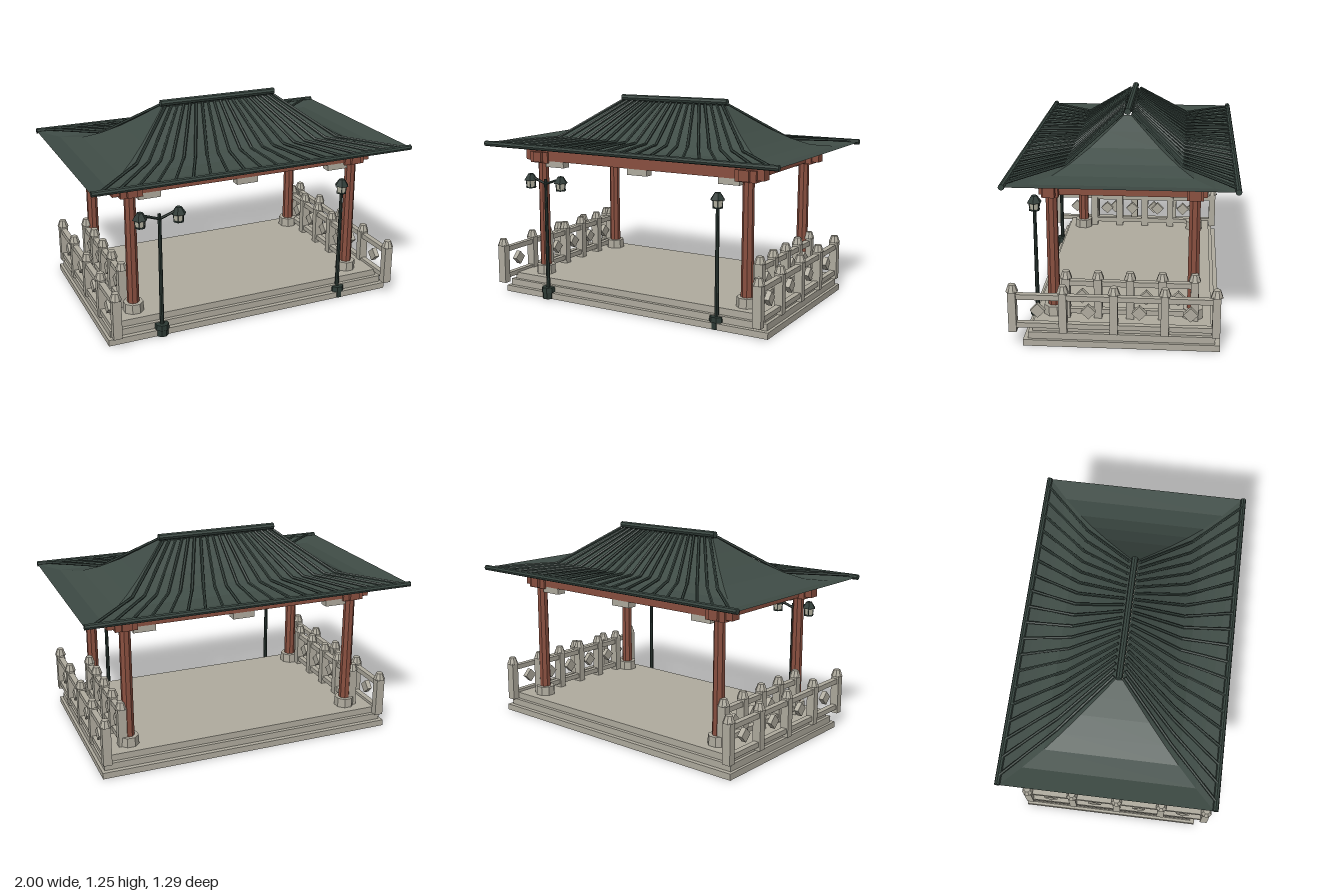
import * as THREE from 'three';

const mat = (name, color, side = THREE.FrontSide) => {
  const m = new THREE.MeshStandardMaterial({ color, flatShading: true, side });
  m.name = name;
  return m;
};

export function createModel() {
  const stone = mat('stone', 0xb0ac9f);
  const wood = mat('red wood', 0x8a5040);
  const tile = mat('roof tile', 0x3f4c46, THREE.DoubleSide);
  const trim = mat('roof trim', 0x37453f);
  const iron = mat('lamp iron', 0x2b3833);
  const glass = mat('lamp glass', 0xb9b7a6);

  const model = new THREE.Group();
  model.name = 'pavilion';

  const group = (name, parent = model) => {
    const g = new THREE.Group();
    g.name = name;
    parent.add(g);
    return g;
  };
  const add = (parent, name, geometry, material, x, y, z) => {
    const m = new THREE.Mesh(geometry, material);
    m.name = name;
    m.position.set(x, y, z);
    parent.add(m);
    return m;
  };
  // Box given by its centre in x and z and its lower and upper y
  const box = (parent, name, material, w, d, y0, y1, x, z) =>
    add(parent, name, new THREE.BoxGeometry(w, y1 - y0, d), material, x, (y0 + y1) / 2, z);
  // Upright prism or frustum with a flat side facing front
  const prism = (parent, name, material, rBottom, rTop, y0, y1, x, z, sides = 8) => {
    const g = new THREE.CylinderGeometry(rTop, rBottom, y1 - y0, sides);
    g.rotateY(Math.PI / sides);
    return add(parent, name, g, material, x, (y0 + y1) / 2, z);
  };
  // Straight rod between two points
  const rod = (parent, name, material, a, b, r, sides = 6) => {
    const dir = b.clone().sub(a);
    const m = add(parent, name, new THREE.CylinderGeometry(r, r, dir.length(), sides), material, 0, 0, 0);
    m.position.copy(a).add(b).multiplyScalar(0.5);
    m.quaternion.setFromUnitVectors(new THREE.Vector3(0, 1, 0), dir.normalize());
    return m;
  };
  const v = (x, y, z) => new THREE.Vector3(x, y, z);

  // Stepped platform
  const platform = group('platform');
  box(platform, 'lowerStep', stone, 1.845, 1.11, 0, 0.038, 0, -0.003);
  box(platform, 'middleStep', stone, 1.81, 1.055, 0.038, 0.078, 0, -0.003);
  box(platform, 'floor', stone, 1.77, 1.01, 0.078, 0.118, 0, -0.003);

  // Columns with bases and capitals
  const frame = group('frame');
  for (const x of [-0.72, 0.72]) {
    for (const z of [-0.402, 0.398]) {
      prism(frame, 'columnBase', stone, 0.062, 0.06, 0.118, 0.175, x, z);
      prism(frame, 'column', wood, 0.036, 0.033, 0.175, 0.92, x, z);
      box(frame, 'capital', wood, 0.133, 0.093, 0.84, 0.908, x, z);
    }
    box(frame, 'crossBeam', wood, 0.06, 0.935, 0.847, 0.91, x, -0.002);
  }
  for (const z of [-0.402, 0.398]) {
    box(frame, 'longBeam', wood, 1.66, 0.065, 0.853, 0.92, 0, z);
    for (const x of [-0.61, 0, 0.61]) {
      box(frame, 'beamBlock', stone, 0.135, 0.06, 0.815, 0.853, x, z);
    }
  }

  // Railings: an outer and a taller-set inner row on each side
  const railing = (name, x, zFront, step, lift) => {
    const g = group(name);
    const length = step * 4;
    const zMid = zFront - length / 2;
    for (let i = 0; i < 5; i++) {
      const z = zFront - step * i;
      box(g, 'railingPost', stone, 0.052, 0.045, 0.08 + lift, 0.325 + lift, x, z);
      prism(g, 'postCap', stone, 0.036, 0.021, 0.32 + lift, 0.362 + lift, x, z);
      if (i < 4) {
        const d = add(g, 'diamond', new THREE.BoxGeometry(0.03, 0.06, 0.06), stone, x, 0.21 + lift, z - step / 2);
        d.rotation.x = Math.PI / 4;
      }
    }
    box(g, 'topRail', stone, 0.034, length, 0.276 + lift, 0.307 + lift, x, zMid);
    box(g, 'bottomRail', stone, 0.034, length, 0.105 + lift, 0.135 + lift, x, zMid);
  };
  for (const s of [-1, 1]) {
    const side = s > 0 ? 'left' : 'right';
    railing(side + 'OuterRailing', s * 0.89, 0.61, 0.286, 0);
    railing(side + 'InnerRailing', s * 0.762, 0.321, 0.183, 0.036);
  }

  // Hipped roof: rectangular rings following a sagging profile of [z, y]
  const roof = group('roof');
  roof.position.z = -0.003;
  const profile = [
    [0.02, 1.215], [0.11, 1.14], [0.2, 1.068], [0.3, 1.003],
    [0.39, 0.96], [0.5, 0.945], [0.615, 0.965],
  ];
  const ring = ([z, y]) => {
    const x = 0.375 + 0.625 * (z - 0.02) / 0.595;
    return [[x, y, z], [x, y, -z], [-x, y, -z], [-x, y, z]];
  };
  const points = [];
  for (let i = 0; i < profile.length - 1; i++) {
    const upper = ring(profile[i]);
    const lower = ring(profile[i + 1]);
    for (let k = 0; k < 4; k++) {
      const n = (k + 1) % 4;
      points.push(...upper[k], ...lower[k], ...lower[n], ...upper[k], ...lower[n], ...upper[n]);
    }
  }
  const roofGeometry = new THREE.BufferGeometry();
  roofGeometry.setAttribute('position', new THREE.Float32BufferAttribute(points, 3));
  roofGeometry.computeVertexNormals();
  add(roof, 'roofSurface', roofGeometry, tile, 0, 0, 0);

  // Ridge, eave rods and fanned ribs
  rod(roof, 'ridge', trim, v(-0.378, 1.235, 0), v(0.378, 1.235, 0), 0.02, 8);
  for (const s of [-1, 1]) {
    rod(roof, 'eave', trim, v(-1, 0.965, s * 0.622), v(1, 0.965, s * 0.622), 0.017, 8);
    for (let i = -9; i <= 9; i++) {
      const t = i / 9;
      const top = v(t * 0.36, 1.22, s * 0.032);
      const knee = v(t * 0.648, 0.995, s * 0.33);
      const end = v(t * 0.945, 0.972, s * 0.62);
      rod(roof, 'upperRib', trim, top, knee, 0.009);
      rod(roof, 'lowerRib', trim, knee, end, 0.009);
    }
  }

  // Lamp posts
  const lantern = (parent, x, z) => {
    const g = group('lantern', parent);
    prism(g, 'lanternFloor', iron, 0.033, 0.033, 0.697, 0.705, x, z, 6);
    prism(g, 'lanternGlass', glass, 0.028, 0.033, 0.705, 0.75, x, z, 6);
    prism(g, 'lanternRoof', iron, 0.045, 0.018, 0.745, 0.785, x, z, 6);
    for (let i = 0; i < 6; i++) {
      const a = (i + 0.5) * Math.PI / 3;
      const c = Math.sin(a), d = Math.cos(a);
      rod(g, 'lanternBar', iron, v(x + c * 0.028, 0.703, z + d * 0.028), v(x + c * 0.033, 0.75, z + d * 0.033), 0.003, 4);
    }
  };
  const lampPost = (name, x, z, top) => {
    const g = group(name);
    prism(g, 'lampFoot', iron, 0.037, 0.037, 0, 0.042, x, z);
    prism(g, 'lampCollar', iron, 0.044, 0.04, 0.042, 0.073, x, z);
    prism(g, 'lampPole', iron, 0.013, 0.01, 0.07, top, x, z);
    return g;
  };
  const doubleLamp = lampPost('doubleLamp', -0.595, 0.54, 0.76);
  for (const s of [-1, 1]) {
    rod(doubleLamp, 'lampArm', iron, v(-0.595, 0.73, 0.54), v(-0.595 + s * 0.115, 0.77, 0.54), 0.008);
    lantern(doubleLamp, -0.595 + s * 0.115, 0.54);
  }
  lantern(lampPost('singleLamp', 0.59, 0.52, 0.705), 0.59, 0.52);

  return model;
}
